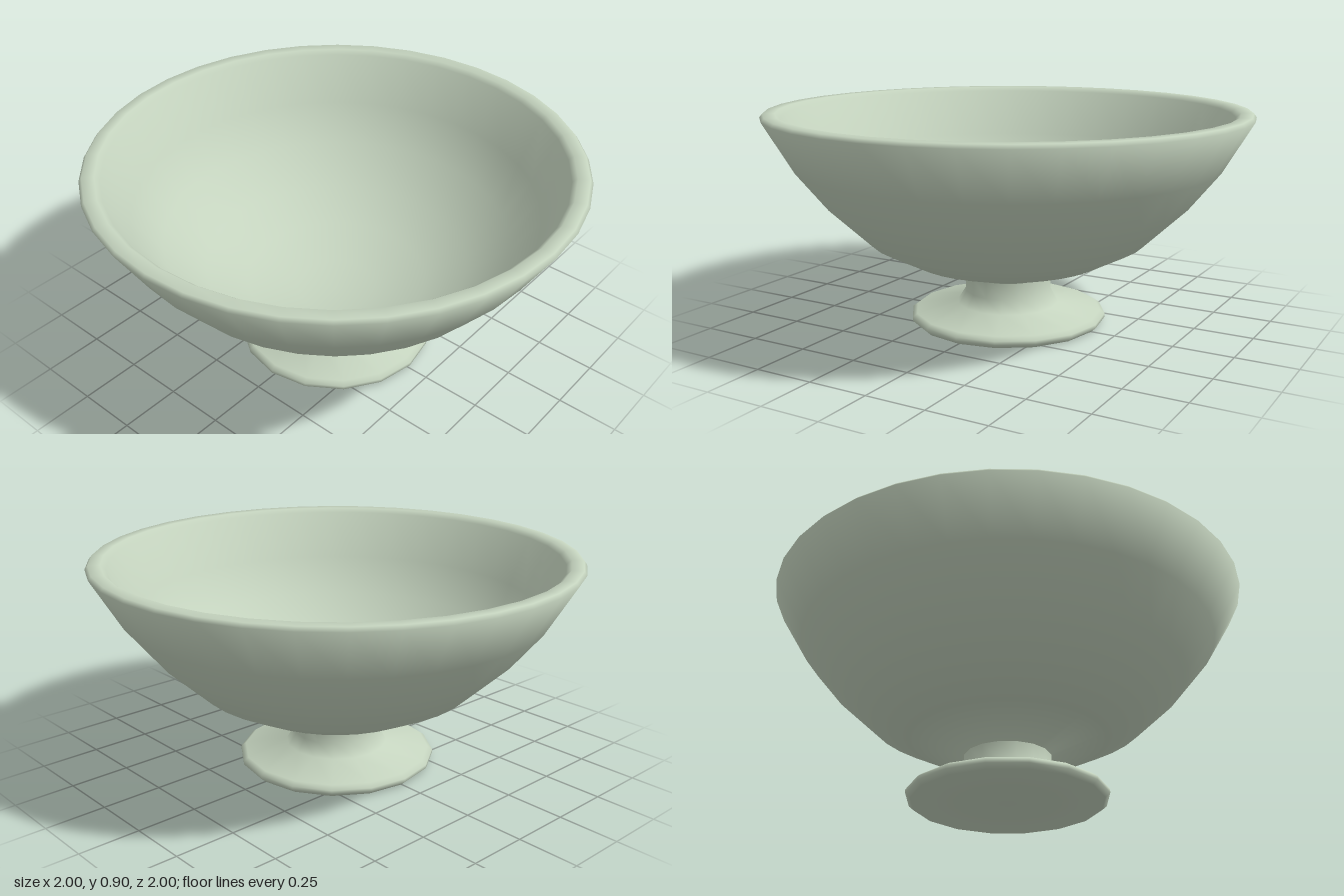
import * as THREE from 'three';

// Spins a list of [radius, height] pairs around the y axis; every bend is
// softened evenly, whatever the length of the segments beside it
function spin(name, profile, segments, material) {
  const points = profile.map(([r, y]) => new THREE.Vector2(r, y));
  const geometry = new THREE.LatheGeometry(points, segments);
  const sides = points.slice(1).map((p, i) =>
    new THREE.Vector2(p.y - points[i].y, points[i].x - p.x).normalize());
  const bends = points.map((p, i) => {
    const before = sides[Math.max(i - 1, 0)];
    const after = sides[Math.min(i, sides.length - 1)];
    const bend = before.clone().add(after).normalize();
    return p.x === 0 ? new THREE.Vector2(0, Math.sign(bend.y)) : bend;
  });
  for (let i = 0; i <= segments; i++) {
    const angle = (i / segments) * Math.PI * 2;
    bends.forEach((n, j) => geometry.attributes.normal.setXYZ(
      i * points.length + j, n.x * Math.sin(angle), n.y, n.x * Math.cos(angle)));
  }
  const mesh = new THREE.Mesh(geometry, material);
  mesh.name = name;
  return mesh;
}

export function createModel() {
  const group = new THREE.Group();
  group.name = 'footedBowl';
  const glaze = new THREE.MeshStandardMaterial({ color: 0xc4d3be });
  glaze.name = 'pale sage glaze';

  // Flat-bottomed disc with a rounded edge, sloping up into the short stem
  group.add(spin('foot', [
    [0, 0], [0.395, 0], [0.415, 0.018], [0.415, 0.033], [0.395, 0.048],
    [0.215, 0.077], [0.182, 0.13], [0.182, 0.2],
  ], 16, glaze));

  // Outer wall rising from the stem, rounded rim, inner wall and floor
  group.add(spin('bowl', [
    [0.175, 0.15], [0.178, 0.2], [0.41, 0.272], [0.58, 0.36],
    [0.755, 0.525], [0.88, 0.68], [1, 0.885], [0.988, 0.9],
    [0.94, 0.9], [0.92, 0.882], [0.83, 0.68], [0.715, 0.53],
    [0.55, 0.39], [0.38, 0.3], [0.17, 0.24], [0, 0.23],
  ], 36, glaze));

  return group;
}
